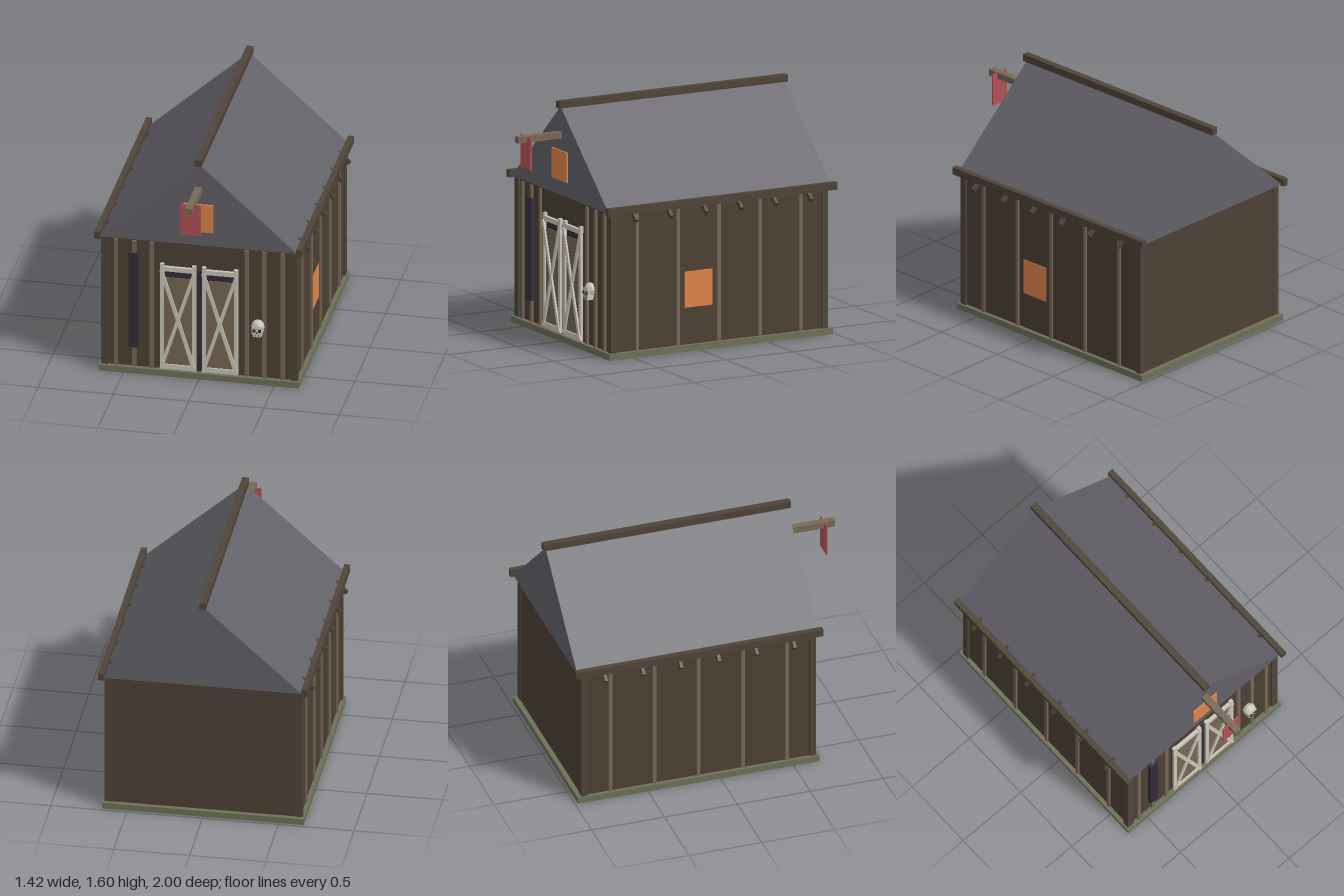
import * as THREE from 'three';

const paint = (color) => new THREE.MeshStandardMaterial({ color, flatShading: true });

export function createModel() {
  const model = new THREE.Group();
  const wood = paint(0x4c4034), batten = paint(0x776855), post = paint(0x4f4438);
  const stone = paint(0x6e7058), slate = paint(0x636168), trim = paint(0xcbc6b8);
  const dark = paint(0x322c38), orange = paint(0xdf8449), red = paint(0xb45155);
  const bone = paint(0xc9c6ba);

  // Box given by its minimum and maximum on each axis
  function box(name, mat, x0, x1, y0, y1, z0, z1, parent = model) {
    const mesh = new THREE.Mesh(new THREE.BoxGeometry(x1 - x0, y1 - y0, z1 - z0), mat);
    mesh.position.set((x0 + x1) / 2, (y0 + y1) / 2, (z0 + z1) / 2);
    mesh.name = name;
    parent.add(mesh);
    return mesh;
  }

  // Foundation and wall block
  box('foundation', stone, -0.665, 0.665, 0, 0.042, -0.98, 0.677);
  box('walls', wood, -0.638, 0.638, 0.042, 0.976, -0.948, 0.645);

  // Roof: a solid prism with flat gables
  const gable = new THREE.Shape([
    new THREE.Vector2(-0.655, 0.975), new THREE.Vector2(0.655, 0.975), new THREE.Vector2(0, 1.565),
  ]);
  const roof = new THREE.Mesh(
    new THREE.ExtrudeGeometry(gable, { depth: 1.655, bevelEnabled: false }), slate);
  roof.position.z = -0.98;
  roof.name = 'roof';
  model.add(roof);
  box('ridgeBeam', post, -0.023, 0.023, 1.555, 1.602, -1, 0.697);

  // Parts repeated on both sides
  for (const s of [-1, 1]) {
    const eave = box('eaveBeam', post, -0.019, 0.019, 0.965, 1.015, -1, 0.697);
    eave.position.x = s * 0.67;

    for (const z of [-0.93, 0.636]) {
      const corner = box('cornerPost', post, -0.024, 0.024, 0.042, 0.976, z - 0.022, z + 0.022);
      corner.position.x = s * 0.628;
    }
    // Rafter tails below the eaves
    for (let i = 0; i < 6; i++) {
      const z = 0.495 - i * 0.259;
      const tail = box('rafterTail', post, -0.055, 0.055, -0.014, 0.014, z - 0.011, z + 0.011);
      tail.position.x = s * 0.661;
      tail.position.y = 0.955;
      tail.rotation.z = -s * 0.73;
    }
    // Wall battens
    for (let i = 0; i < 5; i++) {
      const z = 0.46 - i * 0.303;
      const strip = box('sideBatten', batten, -0.01, 0.01, 0.042, 0.96, z - 0.012, z + 0.012);
      strip.position.x = s * 0.64;
    }
    for (const x of [0.315, 0.432, 0.553]) {
      box('frontBatten', batten, s * x - 0.013, s * x + 0.013, 0.042, 0.955, 0.64, 0.66);
    }
  }

  // Doorway and slit window
  box('doorway', dark, -0.262, 0.262, 0.045, 0.77, 0.64, 0.651);
  box('slitWindow', dark, -0.466, -0.404, 0.188, 0.87, 0.64, 0.673);

  // Double doors with crossed braces
  for (const s of [-1, 1]) {
    const door = new THREE.Group();
    door.name = 'door';
    door.position.x = s * 0.139;
    model.add(door);
    box('doorPanel', batten, -0.1, 0.1, 0.05, 0.71, 0.645, 0.657, door);
    for (const x of [-0.106, 0.106]) {
      box('doorStile', trim, x - 0.013, x + 0.013, 0.048, 0.81, 0.645, 0.668, door);
    }
    box('doorTopRail', trim, -0.118, 0.118, 0.758, 0.79, 0.645, 0.667, door);
    box('doorBottomRail', trim, -0.118, 0.118, 0.05, 0.083, 0.645, 0.667, door);
    for (const d of [-1, 1]) {
      const brace = box('doorBrace', trim, -0.012, 0.012, -0.37, 0.37, -0.006, 0.006, door);
      brace.position.set(0, 0.411, 0.668 + d * 0.002);
      brace.rotation.z = d * Math.atan2(0.222, 0.71);
    }
  }

  // Lit side window and loft hatch
  box('sideWindow', orange, 0.63, 0.642, 0.287, 0.528, -0.1, 0.105);
  box('loftHatch', orange, -0.1, 0.1, 1.075, 1.275, 0.66, 0.686);

  // Sign on a projecting beam
  box('signBeam', batten, -0.023, 0.023, 1.355, 1.398, 0.64, 1);
  box('hangingSign', red, -0.066, 0.066, 1.175, 1.395, 0.924, 0.934);

  // Skull ornament
  const skull = new THREE.Group();
  skull.name = 'skull';
  skull.position.set(0.392, 0.42, 0.67);
  model.add(skull);
  const cranium = new THREE.Mesh(new THREE.IcosahedronGeometry(1, 1), bone);
  cranium.scale.set(0.045, 0.05, 0.038);
  cranium.name = 'cranium';
  skull.add(cranium);
  box('face', bone, -0.034, 0.034, -0.042, 0.012, -0.02, 0.036, skull);
  box('jaw', bone, -0.027, 0.027, -0.062, -0.035, -0.02, 0.033, skull);
  for (const s of [-1, 1]) {
    const eye = box('eyeSocket', dark, -0.01, 0.01, -0.026, -0.005, 0.02, 0.04, skull);
    eye.position.x = s * 0.018;
    const gap = box('toothGap', dark, -0.0015, 0.0015, -0.056, -0.042, 0.02, 0.038, skull);
    gap.position.x = s * 0.009;
  }
  box('noseHole', dark, -0.005, 0.005, -0.036, -0.026, 0.02, 0.039, skull);

  return model;
}
